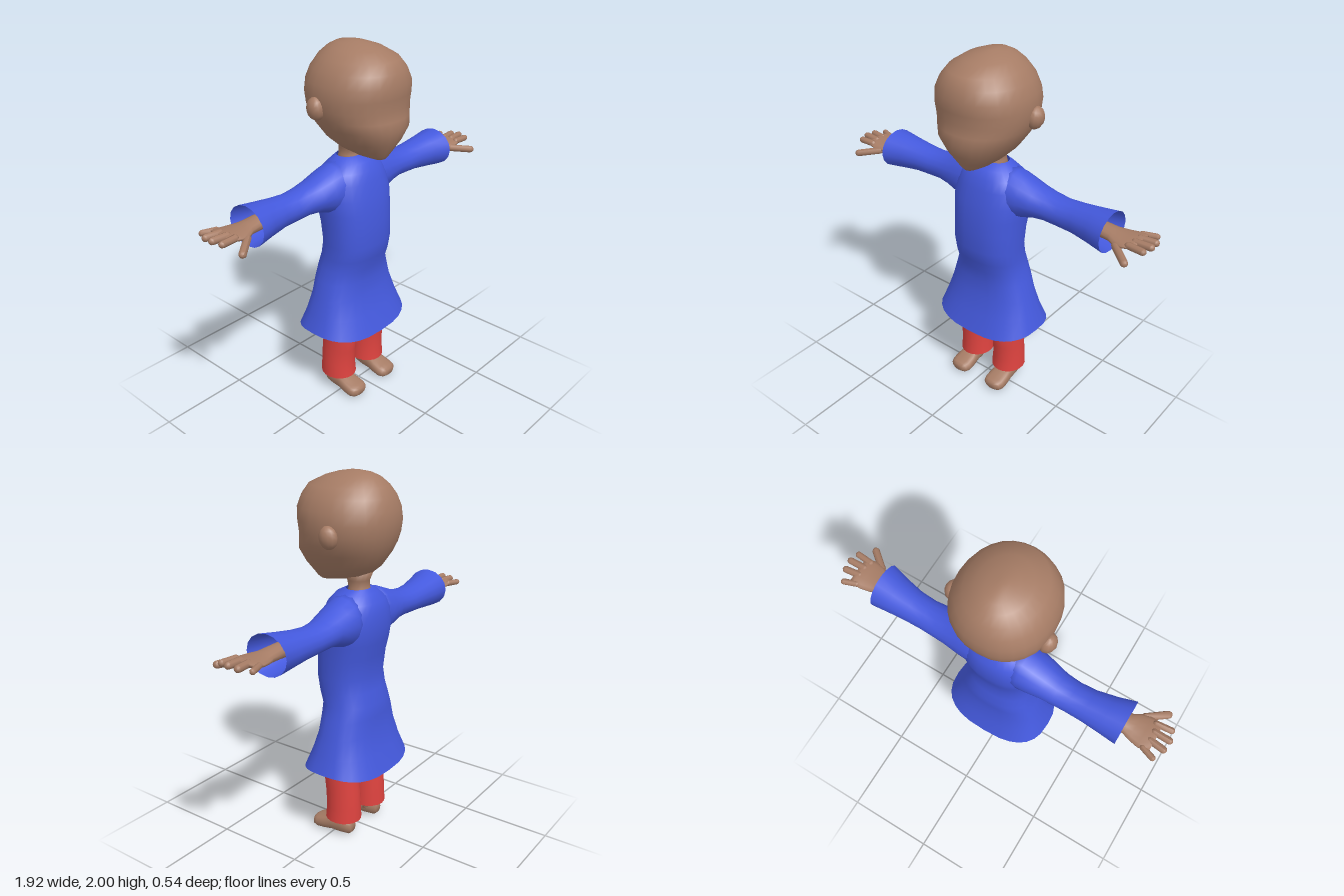
import * as THREE from 'three';

const V = (x, y, z) => new THREE.Vector3(x, y, z);

// Smooth skin through rings {c, u, v, e, bow}; e < 1 squares the ring, bow drops its front and back
function loft(rings, n, capStart = true, capEnd = true) {
  const pos = [], idx = [];
  const pw = (t, e) => Math.sign(t) * Math.pow(Math.abs(t), e);
  for (const { c, u, v, e = 1, bow = 0 } of rings) {
    for (let i = 0; i < n; i++) {
      const a = (i / n) * Math.PI * 2;
      const p = c.clone().addScaledVector(u, pw(Math.cos(a), e)).addScaledVector(v, pw(Math.sin(a), e));
      pos.push(p.x, p.y - bow * Math.cos(a) ** 2, p.z);
    }
  }
  for (let r = 0; r < rings.length - 1; r++) {
    for (let i = 0; i < n; i++) {
      const a = r * n + i, b = r * n + (i + 1) % n;
      idx.push(a, b, b + n, a, b + n, a + n);
    }
  }
  const cap = (r, flip) => {
    const k = pos.length / 3, c = rings[r].c;
    pos.push(c.x, c.y, c.z);
    for (let i = 0; i < n; i++) {
      const a = r * n + i, b = r * n + (i + 1) % n;
      idx.push(k, flip ? b : a, flip ? a : b);
    }
  };
  if (capStart) cap(0, true);
  if (capEnd) cap(rings.length - 1, false);
  const g = new THREE.BufferGeometry();
  g.setAttribute('position', new THREE.Float32BufferAttribute(pos, 3));
  g.setIndex(idx);
  g.computeVertexNormals();
  return g;
}

// Rings along each axis
const ringY = ([y, hw, zb, zf, e, bow], cx = 0) =>
  ({ c: V(cx, y, (zb + zf) / 2), u: V(0, 0, (zf - zb) / 2), v: V(hw, 0, 0), e, bow });
const ringX = ([x, yb, yt, zb, zf, e]) =>
  ({ c: V(x, (yb + yt) / 2, (zb + zf) / 2), u: V(0, (yt - yb) / 2, 0), v: V(0, 0, (zf - zb) / 2), e });
const ringZ = ([z, hw, yb, yt, e], cx) =>
  ({ c: V(cx, (yb + yt) / 2, z), u: V(hw, 0, 0), v: V(0, (yt - yb) / 2, 0), e });

// Copy reflected in x, with its faces turned outward again
function mirrored(geo) {
  const g = geo.clone();
  g.scale(-1, 1, 1);
  const a = g.index.array;
  for (let i = 0; i < a.length; i += 3) [a[i + 1], a[i + 2]] = [a[i + 2], a[i + 1]];
  g.computeVertexNormals();
  return g;
}

// Rounded rod from a to b
function rod(a, b, r) {
  const d = b.clone().sub(a), len = d.length();
  const g = new THREE.CapsuleGeometry(r, len - 2 * r, 4, 8);
  g.applyQuaternion(new THREE.Quaternion().setFromUnitVectors(V(0, 1, 0), d.normalize()));
  const m = a.clone().add(b).multiplyScalar(0.5);
  return g.translate(m.x, m.y, m.z);
}

export function createModel() {
  const model = new THREE.Group();
  model.name = 'robedFigure';
  const material = (name, color) => {
    const m = new THREE.MeshStandardMaterial({ color, side: THREE.DoubleSide });
    m.name = name;
    return m;
  };
  const skin = material('skin', 0xa67c65);
  const blue = material('blueCloth', 0x4459dd);
  const red = material('redCloth', 0xde433f);

  const add = (name, geo, mat) => {
    const m = new THREE.Mesh(geo, mat);
    m.name = name;
    model.add(m);
  };
  const pair = (name, geo, mat) => {
    add('left' + name, geo, mat);
    add('right' + name, mirrored(geo), mat);
  };

  // Head: [y, half width, back z, front z, squareness]
  add('head', loft([
    [1.432, 0.035, 0.09, 0.175], [1.45, 0.075, -0.01, 0.19], [1.48, 0.115, -0.12, 0.21],
    [1.53, 0.165, -0.18, 0.24, 0.95], [1.60, 0.212, -0.225, 0.268, 0.92], [1.65, 0.235, -0.247, 0.258, 0.92],
    [1.70, 0.249, -0.262, 0.25, 0.92], [1.76, 0.255, -0.27, 0.258, 0.92], [1.82, 0.247, -0.264, 0.262, 0.92],
    [1.88, 0.222, -0.245, 0.245, 0.95], [1.93, 0.183, -0.215, 0.215], [1.97, 0.125, -0.17, 0.13],
    [1.99, 0.07, -0.13, 0.06], [2.0, 0.025, -0.07, 0.0],
  ].map(r => ringY(r)), 28), skin);

  // Ears
  const ear = new THREE.SphereGeometry(1, 12, 8);
  ear.scale(0.045, 0.06, 0.05).rotateZ(-0.15).translate(0.247, 1.705, -0.055);
  pair('Ear', ear, skin);

  // Neck
  add('neck', loft([
    [1.34, 0.075, -0.14, 0.02], [1.41, 0.058, -0.12, -0.01], [1.45, 0.058, -0.12, 0.0], [1.52, 0.085, -0.15, 0.04],
  ].map(r => ringY(r)), 16), skin);

  // Robe body, from the hem up to the open collar
  add('robeBody', loft([
    [0.44, 0.315, -0.27, 0.172, 0.74, 0.034], [0.53, 0.283, -0.232, 0.133, 0.78, 0.015],
    [0.63, 0.252, -0.203, 0.1, 0.8], [0.72, 0.225, -0.2, 0.097, 0.82], [0.79, 0.203, -0.195, 0.1, 0.85],
    [0.86, 0.197, -0.175, 0.125, 0.85], [0.94, 0.196, -0.162, 0.14, 0.85], [1.05, 0.2, -0.175, 0.137, 0.85],
    [1.13, 0.205, -0.195, 0.132, 0.85], [1.21, 0.212, -0.205, 0.12, 0.85], [1.29, 0.2, -0.2, 0.1, 0.88],
    [1.345, 0.175, -0.182, 0.08, 0.9], [1.385, 0.13, -0.15, 0.05], [1.41, 0.078, -0.125, 0.0],
  ].map(r => ringY(r)), 28, false, false), blue);

  // Sleeves flaring to open cuffs: [x, bottom y, top y, back z, front z]
  pair('Sleeve', loft([
    [0.08, 1.14, 1.4, -0.17, 0.06], [0.15, 1.12, 1.385, -0.18, 0.06], [0.21, 1.14, 1.362, -0.176, 0.05],
    [0.28, 1.163, 1.335, -0.168, 0.035], [0.35, 1.168, 1.317, -0.163, 0.018], [0.43, 1.163, 1.31, -0.158, 0.012],
    [0.52, 1.16, 1.318, -0.16, 0.017], [0.62, 1.15, 1.333, -0.167, 0.038], [0.72, 1.14, 1.35, -0.177, 0.066],
  ].map(ringX), 16, true, false), blue);

  // Forearm and palm in one skin
  pair('Hand', loft([
    [0.5, 1.2, 1.285, -0.1, -0.01], [0.66, 1.208, 1.28, -0.105, -0.005], [0.73, 1.212, 1.272, -0.11, 0.005],
    [0.77, 1.216, 1.268, -0.125, 0.03], [0.82, 1.224, 1.268, -0.137, 0.038], [0.86, 1.236, 1.272, -0.137, 0.032],
    [0.88, 1.245, 1.268, -0.125, 0.015],
  ].map(ringX), 14), skin);

  // Fingers and thumb: base, tip, radius
  [
    [V(0.83, 1.25, -0.118), V(0.925, 1.25, -0.152), 0.016],
    [V(0.84, 1.256, -0.073), V(0.955, 1.257, -0.087), 0.019],
    [V(0.84, 1.258, -0.028), V(0.96, 1.262, -0.032), 0.019],
    [V(0.83, 1.256, 0.012), V(0.945, 1.258, 0.022), 0.018],
    [V(0.77, 1.236, 0.01), V(0.895, 1.215, 0.112), 0.02],
  ].forEach(([a, b, r], i) => pair(i < 4 ? 'Finger' + (i + 1) : 'Thumb', rod(a, b, r), skin));

  // Trouser legs with open cuffs
  pair('TrouserLeg', loft([
    [0.10, 0.095, -0.15, 0.055], [0.18, 0.09, -0.147, 0.048], [0.27, 0.086, -0.143, 0.055],
    [0.35, 0.084, -0.135, 0.066], [0.45, 0.084, -0.13, 0.062], [0.62, 0.085, -0.13, 0.06],
  ].map(r => ringY(r, 0.118)), 18, false, true), red);

  // Ankles
  pair('Ankle', loft([
    [0.05, 0.045, -0.105, 0.02], [0.11, 0.046, -0.105, 0.0], [0.25, 0.05, -0.11, 0.0],
  ].map(r => ringY(r, 0.12)), 12), skin);

  // Feet: [z, half width, bottom y, top y, squareness]
  pair('Foot', loft([
    [-0.117, 0.025, 0.025, 0.08], [-0.1, 0.043, 0.008, 0.105], [-0.05, 0.05, 0.005, 0.115, 0.85],
    [0.0, 0.054, 0.008, 0.105, 0.8], [0.05, 0.062, 0.004, 0.085, 0.75], [0.095, 0.064, 0.0, 0.07, 0.75],
    [0.12, 0.055, 0.004, 0.064, 0.8], [0.133, 0.035, 0.014, 0.054],
  ].map(r => ringZ(r, 0.126)), 16), skin);

  return model;
}
